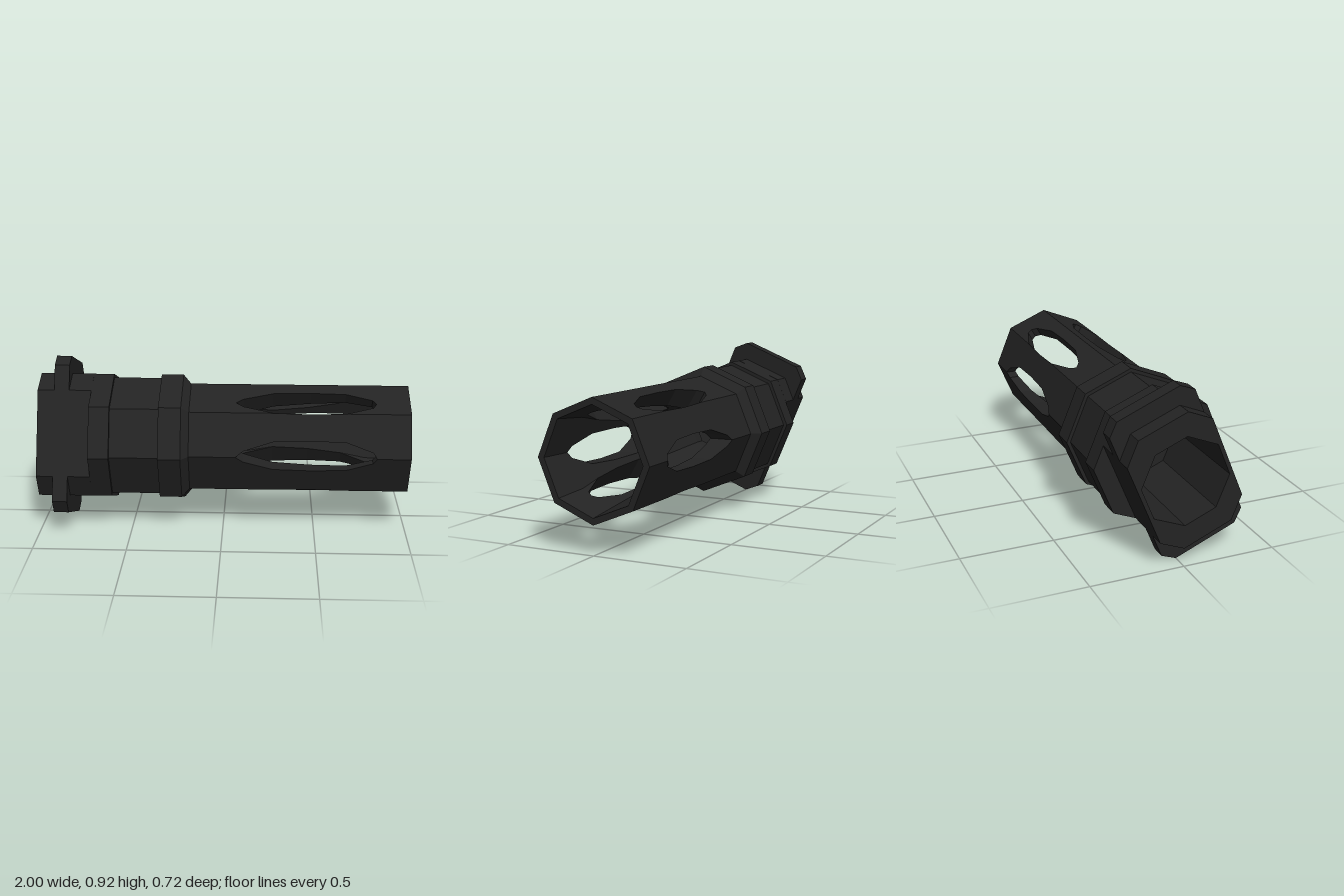
import * as THREE from 'three';

const AXIS_Y = 0.46;
const DEG = Math.PI / 180;
const darkMetal = new THREE.MeshStandardMaterial({ color: 0x232323 });
darkMetal.name = 'darkMetal';

// faceted mesh: unshared corners give every face its own normal
function facetedMesh(name, geometry) {
  const g = geometry.index ? geometry.toNonIndexed() : geometry;
  g.computeVertexNormals();
  const mesh = new THREE.Mesh(g, darkMetal);
  mesh.name = name;
  return mesh;
}

// radius of an eight-sided section (corner radius R) at an angle
function octagonRadius(angle, R) {
  const step = 45 * DEG;
  const a = ((angle % step) + step) % step;
  return R * Math.cos(step / 2) / Math.cos(a - step / 2);
}

// extrude a section along x; its v axis points along the lugs, 22.5 degrees off vertical
function extrudeAlongX(shape, x0, x1, turn = 0) {
  const g = new THREE.ExtrudeGeometry(shape, { depth: x1 - x0, bevelEnabled: false });
  g.rotateZ(turn - 22.5 * DEG);
  g.rotateY(Math.PI / 2);
  g.translate(x0, AXIS_Y, 0);
  return g;
}

const toPoints = list => list.map(([u, v]) => new THREE.Vector2(u, v));

// half width of a slot along the barrel
const slotOutline = [[0.07, 0], [0.11, 0.03], [0.27, 0.078], [0.47, 0.084], [0.66, 0.078], [0.8, 0.03], [0.82, 0]];
const innerRadius = x => 0.275 - 0.104 * (1 - x);

// tapered-bore octagonal barrel with six slots, made of six panels between the slots
function slottedBarrel() {
  const stations = [[-0.18, 0], ...slotOutline, [1, 0]];
  const pos = [];
  const quad = (a, b, c, d) => {
    for (const [p, q, r] of [[a, b, c], [a, c, d]]) {
      const area = q.clone().sub(p).cross(r.clone().sub(p)).length();
      if (area > 1e-8) for (const v of [p, q, r]) pos.push(v.x, v.y, v.z);
    }
  };
  const slotEdge = (base, sign, w, R) => {
    let a = base;
    for (let i = 0; i < 12; i++) a = base + sign * Math.asin(w / octagonRadius(a, R));
    return a;
  };

  for (let k = 0; k < 6; k++) {
    const start = k * 60 * DEG, end = start + 60 * DEG;
    const corner = [45, 90, 135, 225, 270, 315][k] * DEG;
    // three columns per panel: slot edge, octagon corner, next slot edge
    const row = (x, w, R) => {
      const lo = slotEdge(start, 1, w, R), hi = slotEdge(end, -1, w, R);
      return [lo, THREE.MathUtils.clamp(corner, lo, hi), hi].map(a => {
        const r = octagonRadius(a, R);
        return new THREE.Vector3(x, AXIS_Y + r * Math.sin(a), r * Math.cos(a));
      });
    };
    const outer = stations.map(([x, w]) => row(x, w, 0.31));
    const inner = stations.map(([x, w]) => row(x, w, innerRadius(x)));
    const last = stations.length - 1;
    for (let i = 0; i < last; i++) {
      const [o0, o1, n0, n1] = [outer[i], outer[i + 1], inner[i], inner[i + 1]];
      for (let j = 0; j < 2; j++) {
        quad(o0[j], o1[j], o1[j + 1], o0[j + 1]);
        quad(n0[j], n0[j + 1], n1[j + 1], n1[j]);
      }
      // slot side walls
      if (stations[i][1] + stations[i + 1][1] > 0) {
        quad(o0[0], n0[0], n1[0], o1[0]);
        quad(o0[2], o1[2], n1[2], n0[2]);
      }
    }
    // front rim
    for (let j = 0; j < 2; j++) {
      quad(outer[last][j], inner[last][j], inner[last][j + 1], outer[last][j + 1]);
    }
  }
  const g = new THREE.BufferGeometry();
  g.setAttribute('position', new THREE.Float32BufferAttribute(pos, 3));
  return g;
}

export function createModel() {
  const model = new THREE.Group();
  model.name = 'slottedMuzzleDevice';

  model.add(facetedMesh('slottedBarrel', slottedBarrel()));

  // stepped collar with inner bore, as (radius, x) pairs
  const profile = toPoints([
    [0.235, -0.71], [0.36, -0.71], [0.36, -0.6], [0.34, -0.6], [0.34, -0.34], [0.36, -0.34],
    [0.36, -0.22], [0.31, -0.18], [innerRadius(-0.18), -0.18], [0.137, -0.33],
    [0.137, -0.4], [0.235, -0.4], [0.235, -0.71],
  ].filter(([r, x]) => !(x === -0.18 && r > 1)));
  // the outside and the bore meet the barrel at x = -0.18, so no face is needed there
  for (const [name, points] of [['steppedCollar', profile.slice(0, 8)], ['innerBore', profile.slice(8)]]) {
    const g = new THREE.LatheGeometry(points, 8);
    g.rotateZ(-Math.PI / 2);
    g.translate(0, AXIS_Y, 0);
    model.add(facetedMesh(name, g));
  }

  // rear base: octagon with two flats cut off, and a wide bore
  const base = new THREE.Shape(toPoints([
    [0.138, 0.333], [-0.138, 0.333], [-0.2385, 0.2325], [-0.2385, -0.2325],
    [-0.138, -0.333], [0.138, -0.333], [0.2385, -0.2325], [0.2385, 0.2325],
  ]));
  const hole = [];
  for (let i = 0; i < 8; i++) {
    const a = (22.5 + 45 * i) * DEG;
    hole.push(new THREE.Vector2(0.235 * Math.cos(a), 0.235 * Math.sin(a)));
  }
  base.holes.push(new THREE.Path(hole));
  model.add(facetedMesh('rearBase', extrudeAlongX(base, -1, -0.71)));

  // two opposite locking lugs with chamfered corners
  const lug = new THREE.Shape(toPoints([
    [-0.2385, 0.222], [0.2385, 0.222], [0.2385, 0.367], [0.176, 0.425], [-0.176, 0.425], [-0.2385, 0.367],
  ]));
  ['upperLug', 'lowerLug'].forEach((name, i) => {
    model.add(facetedMesh(name, extrudeAlongX(lug, -0.91, -0.83, i * Math.PI)));
  });

  return model;
}
